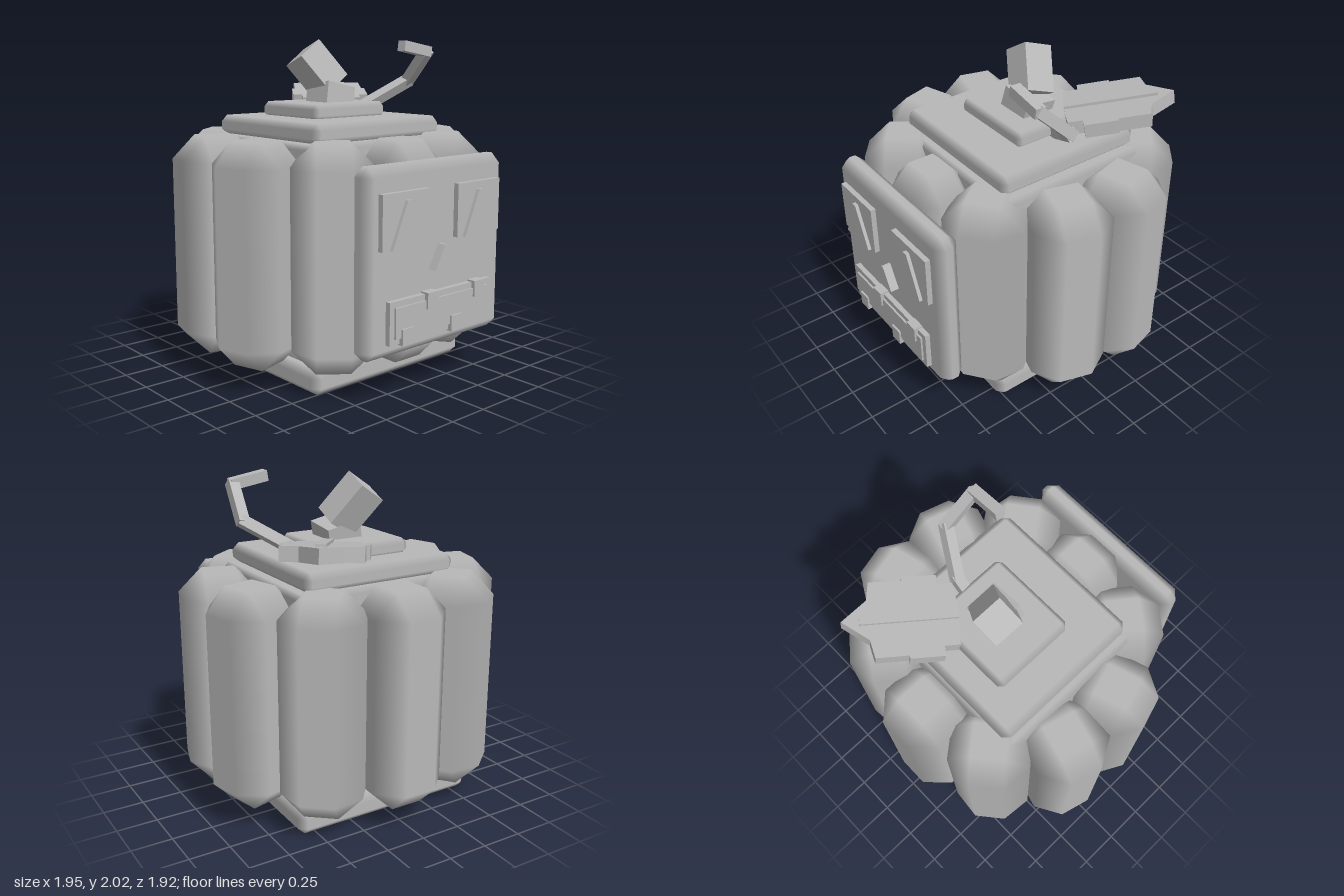
import * as THREE from 'three';

const grey = new THREE.MeshStandardMaterial({ color: 0xb8b8b8 });
grey.name = 'grey';

// Box with single chamfers; corner normals follow the main faces so bevels shade softly
function bevelBox(w, h, d, c) {
  const half = [w / 2, h / 2, d / 2];
  const pos = [], nor = [];
  const signs = [-1, 1];
  const vert = (axis, s) => ({
    p: new THREE.Vector3(...s.map((v, i) => v * (half[i] - (i === axis ? 0 : c)))),
    n: new THREE.Vector3(...s.map((v, i) => (i === axis ? v : 0))),
  });
  const tri = (a, b, e) => {
    const n = b.p.clone().sub(a.p).cross(e.p.clone().sub(a.p));
    const mid = a.n.clone().add(b.n).add(e.n);
    const list = n.dot(mid) < 0 ? [a, e, b] : [a, b, e];
    for (const v of list) { pos.push(...v.p.toArray()); nor.push(...v.n.toArray()); }
  };
  const quad = (a, b, e, f) => { tri(a, b, e); tri(a, e, f); };
  for (let k = 0; k < 3; k++) {
    const i = (k + 1) % 3, j = (k + 2) % 3;
    const s = (vk, vi, vj) => { const r = []; r[k] = vk; r[i] = vi; r[j] = vj; return r; };
    // main faces
    for (const a of signs)
      quad(vert(k, s(a, -1, -1)), vert(k, s(a, 1, -1)), vert(k, s(a, 1, 1)), vert(k, s(a, -1, 1)));
    // chamfers running along axis k
    for (const a of signs) for (const b of signs)
      quad(vert(i, s(-1, a, b)), vert(i, s(1, a, b)), vert(j, s(1, a, b)), vert(j, s(-1, a, b)));
  }
  // corners
  for (const x of signs) for (const y of signs) for (const z of signs)
    tri(vert(0, [x, y, z]), vert(1, [x, y, z]), vert(2, [x, y, z]));
  const g = new THREE.BufferGeometry();
  g.setAttribute('position', new THREE.Float32BufferAttribute(pos, 3));
  g.setAttribute('normal', new THREE.Float32BufferAttribute(nor, 3));
  return g;
}

export function createModel() {
  const root = new THREE.Group();
  root.name = 'carvedPumpkin';

  const add = (name, geometry, parent = root) => {
    const m = new THREE.Mesh(geometry, grey);
    m.name = name;
    parent.add(m);
    return m;
  };
  // Chamfered or plain box given by its extents
  const slab = (name, [x0, x1], [y0, y1], [z0, z1], c = 0) => {
    const size = [x1 - x0, y1 - y0, z1 - z0];
    const m = add(name, c ? bevelBox(...size, c) : new THREE.BoxGeometry(...size));
    m.position.set((x0 + x1) / 2, (y0 + y1) / 2, (z0 + z1) / 2);
    return m;
  };
  // Square beam between two points
  const beam = (name, a, b, w, extra = 0) => {
    const p = new THREE.Vector3(...a), q = new THREE.Vector3(...b);
    const m = add(name, new THREE.BoxGeometry(w, p.distanceTo(q) + extra, w));
    m.position.copy(p).add(q).multiplyScalar(0.5);
    m.quaternion.setFromUnitVectors(new THREE.Vector3(0, 1, 0), q.sub(p).normalize());
    return m;
  };
  // Upright polygon on the face
  const relief = (name, points, z0, z1) => {
    const shape = new THREE.Shape(points.map(([x, y]) => new THREE.Vector2(x, y)));
    const m = add(name, new THREE.ExtrudeGeometry(shape, { depth: z1 - z0, bevelEnabled: false }));
    m.position.z = z0;
    return m;
  };

  // Body: core, base and ribs
  slab('core', [-0.56, 0.56], [0.14, 1.43], [-0.57, 0.47], 0.03);
  slab('base', [-0.61, 0.61], [0, 0.15], [-0.64, 0.54], 0.045);
  const rib = (x, z, depth = 0.48) => {
    const m = add('rib', bevelBox(0.48, 1.32, depth, 0.14));
    m.position.set(x, 0.79, z);
    m.rotation.y = Math.atan2(x, z + 0.08);
  };
  rib(0, -0.72);
  rib(0, 0.58, 0.44);
  for (const s of [-1, 1]) {
    rib(s * 0.715, -0.27);
    rib(s * 0.715, 0.14);
    rib(s * 0.44, -0.61);
    rib(s * 0.44, 0.49);
  }

  // Stepped cap
  slab('lowerCap', [-0.51, 0.51], [1.42, 1.545], [-0.55, 0.43], 0.04);
  slab('upperCap', [-0.29, 0.29], [1.53, 1.63], [-0.38, 0.16], 0.03);

  // Carved face
  slab('facePlate', [-0.56, 0.56], [0.28, 1.35], [0.75, 0.9], 0.055);
  for (const s of [-1, 1]) {
    const xs = [s * 0.115, s * 0.475].sort((a, b) => a - b);
    slab('eyePanel', xs, [0.9, 1.21], [0.89, 0.932]);
    const c = s * 0.29;
    relief('eye', [[c - 0.13, 0.9], [c + 0.13, 0.9], [c + 0.017, 1.165], [c - 0.017, 1.165]], 0.9, 0.953);
  }
  relief('nose', [[-0.085, 0.74], [0.085, 0.74], [0.008, 0.88], [-0.008, 0.88]], 0.89, 0.953);
  slab('mouthPanel', [-0.415, 0.415], [0.37, 0.615], [0.89, 0.932]);
  slab('mouth', [-0.38, 0.38], [0.405, 0.58], [0.9, 0.944]);
  for (const [x, y] of [[-0.1, 0.578], [0.292, 0.578], [-0.295, 0.408], [0.098, 0.408]])
    slab('tooth', [x - 0.043, x + 0.043], [y - 0.047, y + 0.047], [0.9, 0.956]);

  // Bent stem
  const stem = slab('lowerStem', [-0.07, 0.15], [1.57, 1.73], [-0.2, 0.01]);
  stem.rotation.set(-0.12, 0, -0.22);
  beam('upperStem', [0.06, 1.715, -0.11], [-0.095, 1.935, -0.205], 0.19);

  // Curling tendril
  const path = [[0.28, 1.57, -0.11], [0.37, 1.6, -0.1], [0.6, 1.75, 0.04], [0.565, 1.94, 0.24], [0.36, 1.975, 0.235]];
  for (let i = 0; i + 1 < path.length; i++) beam('tendril', path[i], path[i + 1], 0.065, 0.03);

  // Broad stepped leaf with a midrib
  const side = [[0.07, -0.3], [0.19, -0.29], [0.19, -0.2], [0.25, -0.2], [0.25, 0], [0.23, 0], [0.23, 0.19], [0.12, 0.21]];
  const outline = [...side, [0, 0.36], ...side.map(([x, y]) => [-x, y]).reverse()];
  const leaf = new THREE.Group();
  leaf.name = 'leaf';
  const blade = new THREE.ExtrudeGeometry(
    new THREE.Shape(outline.map(([x, y]) => new THREE.Vector2(x, y))), { depth: 0.085, bevelEnabled: false });
  blade.translate(0, 0, -0.0425).rotateX(-Math.PI / 2);
  add('leafBlade', blade, leaf);
  add('leafMidrib', new THREE.BoxGeometry(0.06, 0.03, 0.56), leaf).position.set(0, 0.045, 0.02);
  leaf.position.set(0.365, 1.645, -0.5);
  leaf.rotation.set(0.16, -0.62, 0, 'YXZ');
  root.add(leaf);

  return root;
}
